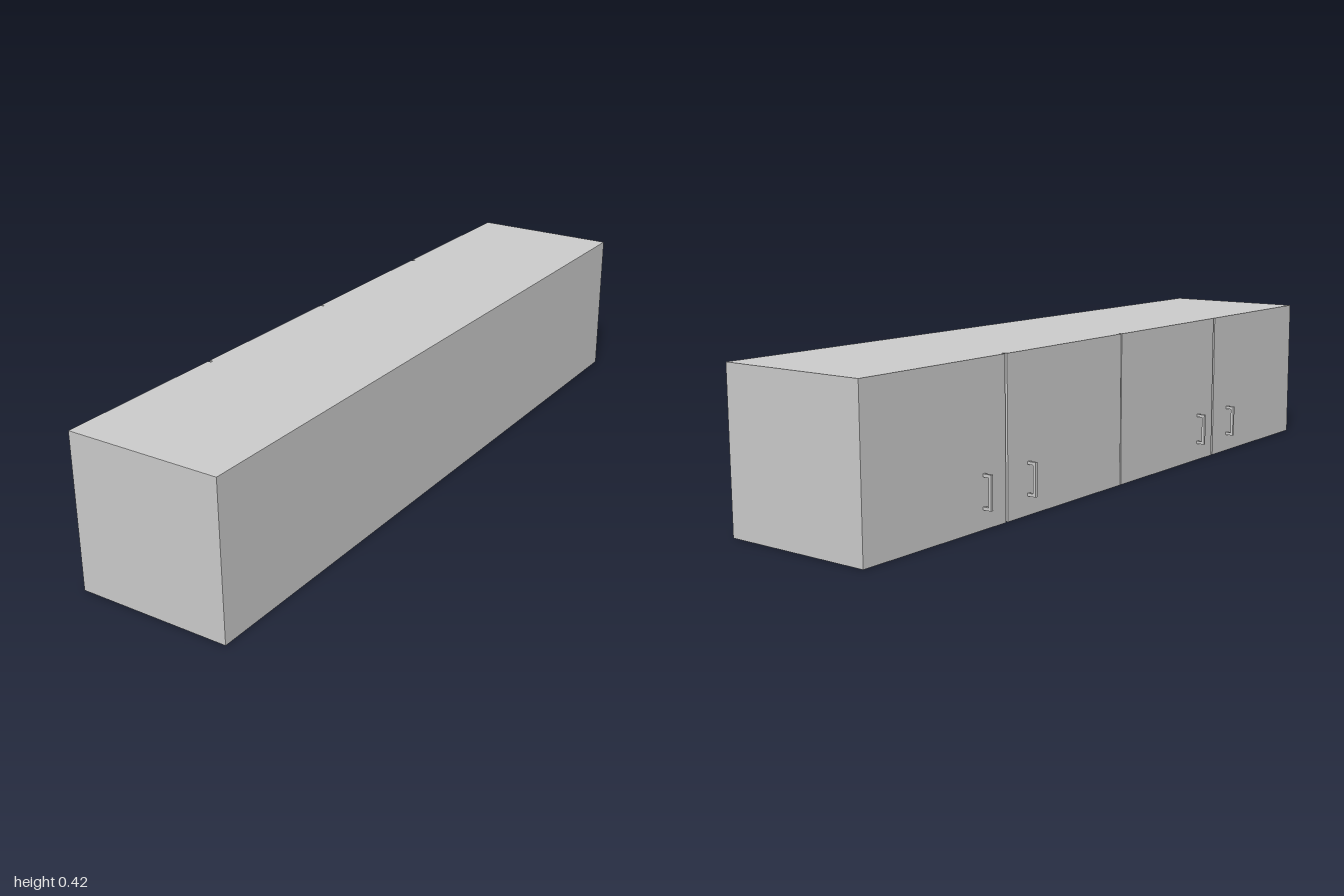
import * as THREE from 'three';

const HEIGHT = 0.422;
const FRONT = -0.203;  // outer face of the doors
const BACK = 0.227;
const DOOR = 0.01;     // door thickness

export function createModel() {
  const group = new THREE.Group();
  const material = new THREE.MeshStandardMaterial({ color: 0xcccccc, flatShading: true });

  // Box given by its lower and upper corners
  function box(parent, name, x0, x1, y0, y1, z0, z1) {
    const mesh = new THREE.Mesh(new THREE.BoxGeometry(x1 - x0, y1 - y0, z1 - z0), material);
    mesh.position.set((x0 + x1) / 2, (y0 + y1) / 2, (z0 + z1) / 2);
    mesh.name = name;
    parent.add(mesh);
  }

  // Long closed carcass
  box(group, 'carcass', FRONT + DOOR, BACK, 0, HEIGHT, -1, 1);

  // Four doors in two pairs, with narrow gaps between them
  const doors = [[-1, -0.504], [-0.496, -0.002], [0.002, 0.496], [0.504, 1]];
  for (const [z0, z1] of doors) box(group, 'door', FRONT, FRONT + DOOR, 0, HEIGHT, z0, z1);

  // Square bar handles, low on each door beside the pair's gap
  const bar = 0.008, bottom = 0.05, top = 0.14, outer = -0.228;
  for (const z of [-0.588, -0.413, 0.413, 0.588]) {
    const handle = new THREE.Group();
    handle.name = 'handle';
    const z0 = z - bar / 2, z1 = z + bar / 2;
    box(handle, 'handleGrip', outer, outer + bar, bottom, top, z0, z1);
    box(handle, 'handleLowerPost', outer + bar, FRONT, bottom, bottom + bar, z0, z1);
    box(handle, 'handleUpperPost', outer + bar, FRONT, top - bar, top, z0, z1);
    group.add(handle);
  }

  return group;
}
